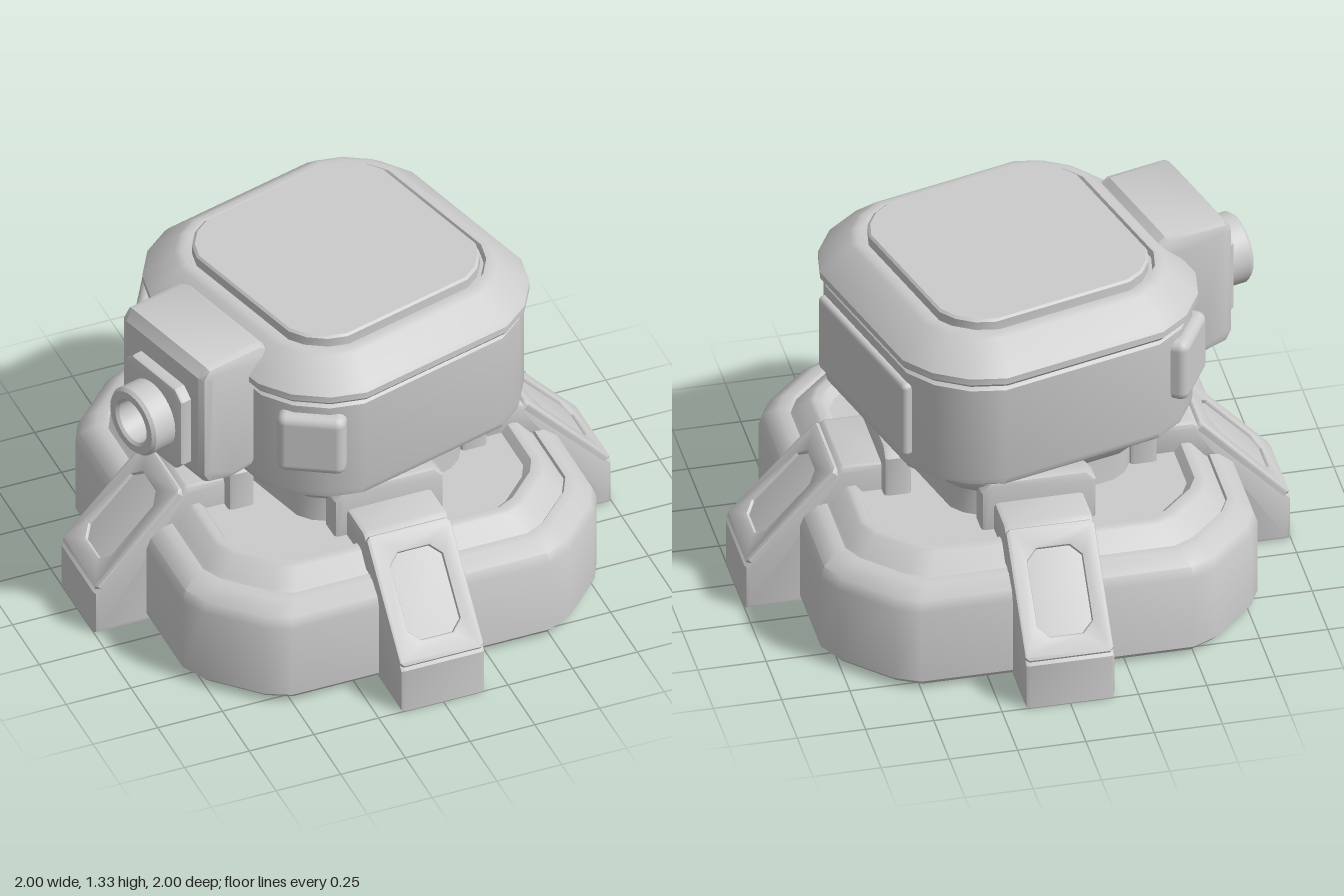
import * as THREE from 'three';
import { toCreasedNormals } from 'three/addons/utils/BufferGeometryUtils.js';
import { RoundedBoxGeometry } from 'three/addons/geometries/RoundedBoxGeometry.js';

const material = new THREE.MeshStandardMaterial({ color: 0xcccccc });

function add(parent, name, geometry, x = 0, y = 0, z = 0) {
  const mesh = new THREE.Mesh(geometry, material);
  mesh.name = name;
  mesh.position.set(x, y, z);
  parent.add(mesh);
  return mesh;
}

// Loft of squares with softened corners.
// Each level is [half width, half length of the straight side, height].
function loft(levels, inset = 0.2, along = 0.44) {
  const positions = [], index = [], n = 16;
  for (const [h, c, y] of levels) {
    const d = h - c;
    const corner = [[h, c], [h - inset * d, c + along * d], [c + along * d, h - inset * d], [c, h]];
    for (let q = 0; q < 4; q++) {
      const cos = Math.round(Math.cos(q * Math.PI / 2)), sin = Math.round(Math.sin(q * Math.PI / 2));
      for (const [x, z] of corner) positions.push(x * cos - z * sin, y, x * sin + z * cos);
    }
  }
  for (let l = 0; l < levels.length - 1; l++) {
    for (let i = 0; i < n; i++) {
      const a = l * n + i, b = l * n + (i + 1) % n;
      index.push(a, a + n, b, b, a + n, b + n);
    }
  }
  const g = new THREE.BufferGeometry();
  g.setAttribute('position', new THREE.Float32BufferAttribute(positions, 3));
  g.setIndex(index);
  return toCreasedNormals(g, 0.65);
}

// Extruded outline, centred on its depth, with bevels kept inside the outline.
function slab(points, depth, bevel, hole) {
  const toShape = (p) => new THREE.Shape(p.map(([x, y]) => new THREE.Vector2(x, y)));
  const shape = toShape(points);
  if (hole) shape.holes.push(toShape(hole));
  const g = new THREE.ExtrudeGeometry(shape, {
    depth: depth - 2 * bevel, bevelEnabled: true, bevelThickness: bevel,
    bevelSize: bevel, bevelOffset: -bevel, bevelSegments: 2,
  });
  g.translate(0, 0, bevel - depth / 2);
  return toCreasedNormals(g, 0.6);
}

// Rectangle with cut corners.
function cutRect(w, h, c) {
  return [[-w + c, -h], [w - c, -h], [w, -h + c], [w, h - c], [w - c, h], [-w + c, h], [-w, h - c], [-w, -h + c]];
}

// One leg pointing along +x: body, framed slope and bracket.
function createLeg() {
  const leg = new THREE.Group();
  leg.name = 'leg';
  add(leg, 'legBody', slab([
    [0.7, 0], [1, 0], [1, 0.18], [0.655, 0.545], [0.64, 0.555], [0.45, 0.555], [0.45, 0.4], [0.7, 0.4],
  ], 0.33, 0.018));

  const v = new THREE.Vector3(-0.33, 0.355, 0).normalize();
  const n = new THREE.Vector3(0.355, 0.33, 0).normalize();
  const frame = add(leg, 'legSlopeFrame', slab(cutRect(0.163, 0.242, 0.015), 0.04, 0.01, cutRect(0.1, 0.16, 0.04)));
  frame.quaternion.setFromRotationMatrix(new THREE.Matrix4().makeBasis(new THREE.Vector3(0, 0, -1), v, n));
  frame.position.set(0.833, 0.375, 0).addScaledVector(n, -0.018);

  const bracket = add(leg, 'legBracket', slab([
    [-0.21, 0.42], [0.21, 0.42], [0.21, 0.6], [0.175, 0.64], [-0.175, 0.64], [-0.21, 0.6],
  ], 0.1, 0.015), 0.45, 0, 0);
  bracket.rotation.y = Math.PI / 2;
  return leg;
}

export function createModel() {
  const model = new THREE.Group();
  model.name = 'turret';

  // Base with a raised rim and a sunken floor
  add(model, 'base', loft([
    [0.001, 0.0005, 0.012], [0.78, 0.49, 0.012], [0.8, 0.5, 0.035], [0.8, 0.5, 0.33], [0.785, 0.49, 0.37],
    [0.735, 0.465, 0.41], [0.7, 0.45, 0.412], [0.695, 0.445, 0.4], [0.685, 0.44, 0.41],
    [0.635, 0.41, 0.47], [0.62, 0.4, 0.477], [0.595, 0.385, 0.475], [0.57, 0.37, 0.445], [0.001, 0.0005, 0.44],
  ], 0.15, 0.3));

  for (let i = 0; i < 4; i++) {
    const leg = createLeg();
    leg.rotation.y = i * Math.PI / 2;
    model.add(leg);
  }

  // Everything above the base is turned
  const head = new THREE.Group();
  head.name = 'head';
  head.rotation.y = THREE.MathUtils.degToRad(15);
  model.add(head);

  add(head, 'neck', loft([
    [0.36, 0.24, 0.42], [0.36, 0.24, 0.555], [0.375, 0.25, 0.56],
    [0.425, 0.28, 0.62], [0.435, 0.28, 0.64], [0.435, 0.28, 0.69], [0.42, 0.27, 0.72],
  ]));
  add(head, 'headBody', loft([
    [0.001, 0.0005, 0.708], [0.545, 0.3, 0.708], [0.565, 0.31, 0.725], [0.572, 0.31, 0.75],
    [0.572, 0.31, 1.13], [0.56, 0.305, 1.142], [0.001, 0.0005, 1.142],
  ]));
  add(head, 'roof', loft([
    [0.54, 0.3, 1.135], [0.545, 0.3, 1.15], [0.58, 0.31, 1.155], [0.592, 0.315, 1.17], [0.592, 0.315, 1.195],
    [0.575, 0.31, 1.215], [0.485, 0.28, 1.295], [0.465, 0.275, 1.305], [0.445, 0.27, 1.305],
    [0.435, 0.27, 1.285], [0.001, 0.0005, 1.285],
  ]));
  add(head, 'roofPanel', loft([
    [0.42, 0.27, 1.27], [0.42, 0.27, 1.322], [0.412, 0.265, 1.33], [0.001, 0.0005, 1.33],
  ]));

  // Side plate and the two corner blocks
  add(head, 'sidePlate', new RoundedBoxGeometry(0.06, 0.31, 0.66, 2, 0.02), 0.567, 0.935, 0);
  for (const s of [-1, 1]) {
    const block = add(head, 'cornerBlock', new RoundedBoxGeometry(0.25, 0.25, 0.13, 3, 0.035), -0.455, 0.975, s * 0.455);
    block.rotation.y = s > 0 ? -Math.PI / 4 : -Math.PI * 3 / 4;
  }

  // Cannon housing, mounting plate and hollow muzzle
  add(head, 'cannonHousing', slab([
    [-0.45, 0.79], [-0.66, 0.76], [-0.77, 0.785], [-0.795, 0.83], [-0.795, 1.26], [-0.765, 1.3], [-0.53, 1.3], [-0.45, 1.24],
  ], 0.49, 0.035), 0, 0, 0.015);
  const plate = add(head, 'muzzlePlate', slab(cutRect(0.165, 0.18, 0.04), 0.1, 0.015), -0.79, 1, 0.02);
  plate.rotation.y = -Math.PI / 2;
  const profile = [
    [0.132, 0], [0.132, 0.115], [0.122, 0.128], [0.092, 0.128], [0.082, 0.118], [0.08, 0.03], [0, 0.03],
  ].map(([r, y]) => new THREE.Vector2(r, y));
  const muzzle = add(head, 'muzzle', toCreasedNormals(new THREE.LatheGeometry(profile, 32), 0.6), -0.81, 1, 0.02);
  muzzle.rotation.z = Math.PI / 2;

  return model;
}
